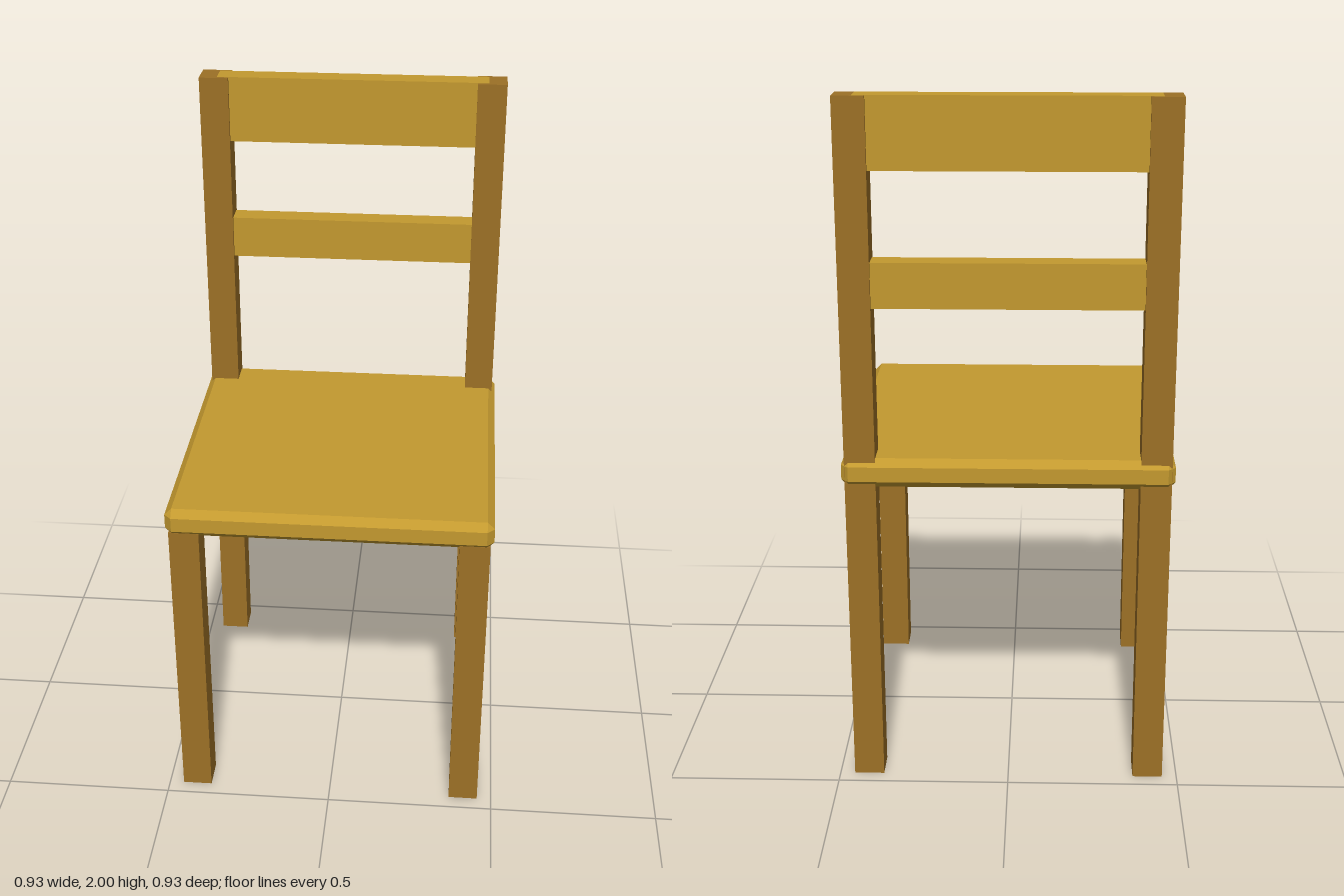
import * as THREE from 'three';
import { ConvexGeometry } from 'three/addons/geometries/ConvexGeometry.js';

// Box with every edge cut by one flat chamfer
function chamferedBox(hx, hy, hz, c) {
  const points = [];
  for (const sx of [-1, 1]) for (const sy of [-1, 1]) for (const sz of [-1, 1]) {
    points.push(
      new THREE.Vector3(sx * hx, sy * (hy - c), sz * (hz - c)),
      new THREE.Vector3(sx * (hx - c), sy * hy, sz * (hz - c)),
      new THREE.Vector3(sx * (hx - c), sy * (hy - c), sz * hz)
    );
  }
  return new ConvexGeometry(points);
}

export function createModel() {
  const group = new THREE.Group();
  const lightWood = new THREE.MeshStandardMaterial({ color: 0xc3992f });
  lightWood.name = 'lightWood';
  const darkWood = new THREE.MeshStandardMaterial({ color: 0x9c7026 });
  darkWood.name = 'darkWood';

  function add(name, geometry, material, x, y, z) {
    const mesh = new THREE.Mesh(geometry, material);
    mesh.name = name;
    mesh.position.set(x, y, z);
    group.add(mesh);
  }

  // Seat
  add('seat', chamferedBox(0.467, 0.0425, 0.467, 0.021), lightWood, 0, 0.9575, 0);

  // Short front legs, and back legs that run up as the back posts
  const legWidth = 0.087, legCentre = 0.4135;
  for (const [side, s] of [['left', 1], ['right', -1]]) {
    const frontHeight = 0.925, backHeight = 1.999;
    add(side + 'FrontLeg', new THREE.BoxGeometry(legWidth, frontHeight, legWidth),
      darkWood, s * legCentre, frontHeight / 2, legCentre);
    add(side + 'BackPost', new THREE.BoxGeometry(legWidth, backHeight, legWidth),
      darkWood, s * legCentre, backHeight / 2, -legCentre);
  }

  // Back slats, let into the posts
  for (const [name, bottom, top] of [['topSlat', 1.803, 2], ['middleSlat', 1.43, 1.557]]) {
    add(name, new THREE.BoxGeometry(0.808, top - bottom, 0.067), lightWood, 0, (top + bottom) / 2, -legCentre);
  }

  return group;
}
